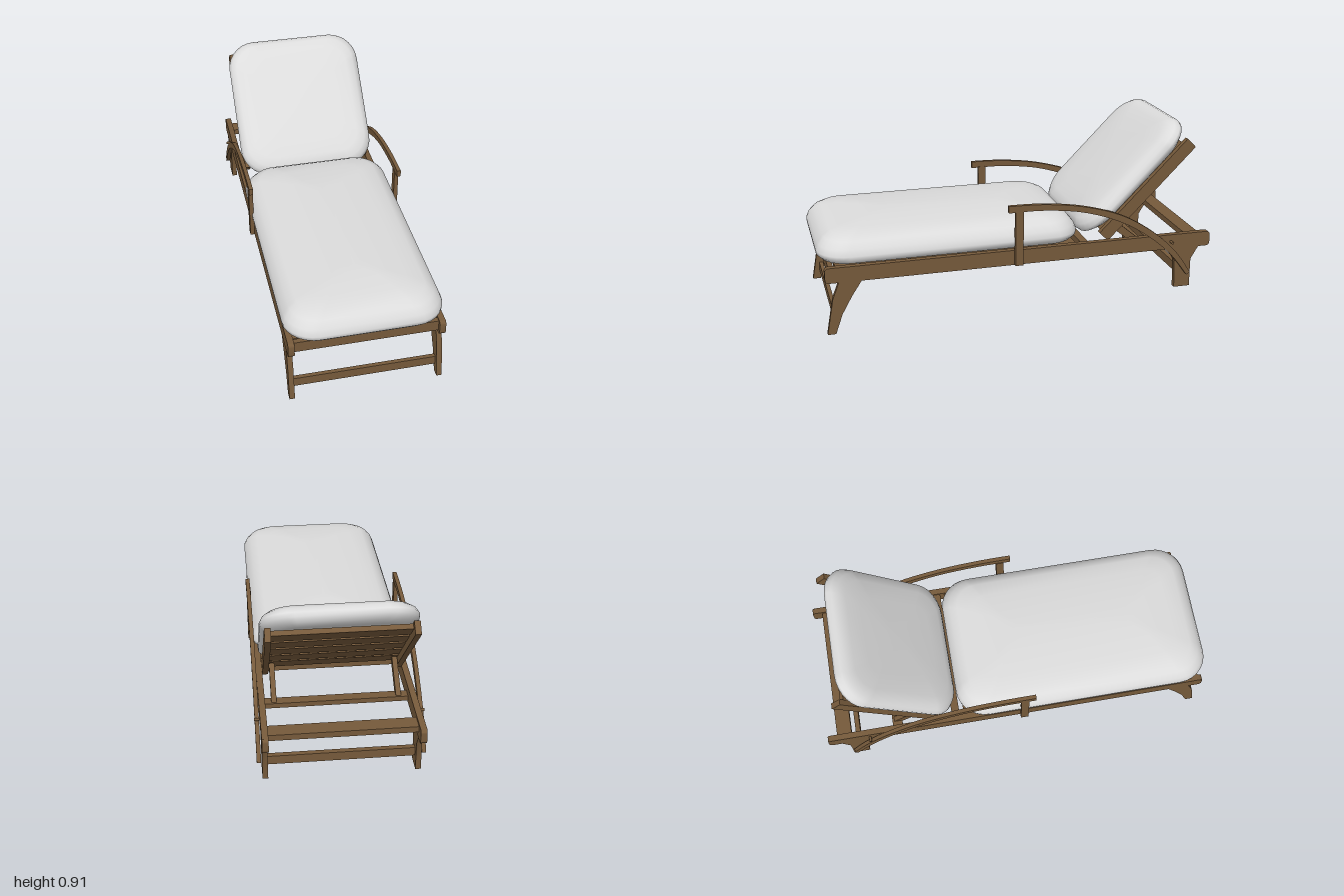
import * as THREE from 'three';
import { toCreasedNormals } from 'three/addons/utils/BufferGeometryUtils.js';

const wood = new THREE.MeshStandardMaterial({ color: 0x765a3b });
wood.name = 'wood';
const fabric = new THREE.MeshStandardMaterial({ color: 0xdcdcdc });
fabric.name = 'cushion fabric';

function add(parent, name, geometry, material = wood) {
  const mesh = new THREE.Mesh(geometry, material);
  mesh.name = name;
  parent.add(mesh);
  return mesh;
}

// Box given by its extents on each axis
function box(parent, name, [x0, x1], [y0, y1], [z0, z1]) {
  const mesh = add(parent, name, new THREE.BoxGeometry(x1 - x0, y1 - y0, z1 - z0));
  mesh.position.set((x0 + x1) / 2, (y0 + y1) / 2, (z0 + z1) / 2);
  return mesh;
}

// Pair of side plates cut from a (z, y) outline, spanning x0..x1 and mirrored
function platePair(parent, name, shape, x0, x1) {
  for (const side of [1, -1]) {
    const g = new THREE.ExtrudeGeometry(shape, { depth: x1 - x0, bevelEnabled: false, curveSegments: 8 });
    g.rotateY(-Math.PI / 2);
    g.translate(side > 0 ? x1 : -x0, 0, 0);
    add(parent, (side > 0 ? 'left' : 'right') + name, toCreasedNormals(g, 0.6));
  }
}

const polygon = (pts) => new THREE.Shape(pts.map(([z, y]) => new THREE.Vector2(z, y)));

function roundedRect(z0, z1, y0, y1, r) {
  const s = new THREE.Shape();
  s.absarc(z1 - r, y1 - r, r, 0, Math.PI / 2);
  s.absarc(z0 + r, y1 - r, r, Math.PI / 2, Math.PI);
  s.absarc(z0 + r, y0 + r, r, Math.PI, Math.PI * 1.5);
  s.absarc(z1 - r, y0 + r, r, Math.PI * 1.5, Math.PI * 2);
  return s;
}

// Soft cushion: rounded rectangles stacked by [inset, height], closed at both ends
function cushionGeometry(halfW, halfL, radius, levels) {
  const pos = [], index = [], per = 8, n = per * 4;
  for (const [inset, h] of levels) {
    const w = halfW - inset, l = halfL - inset;
    const r = Math.min(Math.max(radius - inset * 0.5, 0.03), w, l);
    for (let i = 0; i < n; i++) {
      const corner = Math.floor(i / per);
      const a = (corner + (i % per) / (per - 1)) * Math.PI / 2;
      const sx = corner === 0 || corner === 3 ? 1 : -1, sz = corner < 2 ? 1 : -1;
      pos.push(sx * (w - r) + r * Math.cos(a), h, sz * (l - r) + r * Math.sin(a));
    }
  }
  const last = levels.length - 1;
  for (let k = 0; k < last; k++) {
    for (let i = 0; i < n; i++) {
      const a = k * n + i, b = k * n + (i + 1) % n;
      index.push(a, a + n, b, b, a + n, b + n);
    }
  }
  const c0 = pos.length / 3;
  pos.push(0, levels[0][1], 0, 0, levels[last][1], 0);
  for (let i = 0; i < n; i++) {
    const j = (i + 1) % n;
    index.push(c0, i, j, c0 + 1, last * n + j, last * n + i);
  }
  const g = new THREE.BufferGeometry();
  g.setAttribute('position', new THREE.Float32BufferAttribute(pos, 3));
  g.setIndex(index);
  g.computeVertexNormals();
  return g;
}

function createFrame() {
  const frame = new THREE.Group();
  frame.name = 'frame';
  platePair(frame, 'SideRail', roundedRect(-1, 0.975, 0.265, 0.342, 0.018), 0.342, 0.372);

  // Splayed front legs and straight back legs
  platePair(frame, 'FrontLeg', polygon([[0.975, 0], [0.943, 0.18], [0.91, 0.266], [0.8, 0.266],
    [0.85, 0.19], [0.9, 0.1], [0.935, 0]]), 0.345, 0.371);
  platePair(frame, 'BackLeg', polygon([[-0.775, 0.266], [-0.81, 0.2], [-0.815, 0.05], [-0.9, 0.05],
    [-0.9, 0.2], [-0.94, 0.266]]), 0.345, 0.371);

  // Cross members
  const inner = [-0.345, 0.345];
  box(frame, 'frontRail', inner, [0.28, 0.336], [0.93, 0.955]);
  box(frame, 'backRail', inner, [0.3, 0.33], [-0.95, -0.875]);
  box(frame, 'middleRail', inner, [0.285, 0.335], [-0.35, -0.31]);
  box(frame, 'propRail', inner, [0.275, 0.3], [-0.66, -0.61]);
  box(frame, 'frontStretcher', inner, [0.045, 0.092], [0.918, 0.938]);
  box(frame, 'backStretcher', inner, [0.108, 0.153], [-0.87, -0.845]);

  // Bed slats
  const count = 10, pitch = 1.22 / count;
  for (let i = 0; i < count; i++) {
    const z = 0.92 - i * pitch;
    box(frame, 'bedSlat', inner, [0.305, 0.33], [z - pitch + 0.012, z]);
  }
  return frame;
}

function createArms() {
  const arms = new THREE.Group();
  arms.name = 'arms';
  // Sweeping arm from the front tip down to the back leg
  const s = new THREE.Shape();
  const v = (pts) => pts.map(([z, y]) => new THREE.Vector2(z, y));
  s.moveTo(0.08, 0.545);
  s.lineTo(0.08, 0.58);
  s.splineThru(v([[-0.1, 0.574], [-0.3, 0.545], [-0.5, 0.482], [-0.67, 0.38], [-0.8, 0.262], [-0.89, 0.135]]));
  s.lineTo(-0.87, 0.123);
  s.splineThru(v([[-0.78, 0.24], [-0.65, 0.355], [-0.49, 0.45], [-0.3, 0.515], [-0.1, 0.543], [0.08, 0.545]]));
  platePair(arms, 'Arm', s, 0.375, 0.395);
  platePair(arms, 'ArmPost', polygon([[0.005, 0.267], [0.045, 0.267], [0.045, 0.55], [0.005, 0.55]]), 0.372, 0.393);
  for (const side of [1, -1]) {
    const peg = add(arms, 'armPeg', new THREE.CylinderGeometry(0.007, 0.007, 0.03, 10));
    peg.rotation.z = Math.PI / 2;
    peg.position.set(side * 0.383, 0.305, -0.785);
  }
  return arms;
}

function createBackrest() {
  // Built lying flat with -z toward the head, then tilted up
  const back = new THREE.Group();
  back.name = 'backrest';
  for (const side of [1, -1]) {
    const x = side * 0.328;
    box(back, 'backStile', [x - 0.014, x + 0.014], [-0.032, 0.032], [-0.645, 0]);
  }
  for (let i = 0; i < 5; i++) {
    const z = -0.015 - i * 0.125;
    box(back, 'backSlat', [-0.315, 0.315], [0.002, 0.026], [z - 0.102, z]);
  }
  const cushion = add(back, 'backCushion', cushionGeometry(0.36, 0.375, 0.15, [
    [0.3, 0.032], [0.07, 0.034], [0.025, 0.044], [0.003, 0.065], [0, 0.085],
    [0.012, 0.108], [0.035, 0.126], [0.075, 0.137], [0.16, 0.142], [0.3, 0.145]]), fabric);
  cushion.position.z = -0.313;
  back.position.set(0, 0.355, -0.43);
  back.rotation.x = 0.79;
  return back;
}

export function createModel() {
  const model = new THREE.Group();
  model.name = 'sunLounger';
  model.add(createFrame(), createArms(), createBackrest());

  // Struts holding the backrest up
  platePair(model, 'PropStrut', polygon([[-0.47, 0.4], [-0.5, 0.425], [-0.65, 0.3], [-0.625, 0.275]]), 0.285, 0.31);

  const seat = add(model, 'seatCushion', cushionGeometry(0.38, 0.655, 0.15, [
    [0.3, 0], [0.07, 0], [0.02, 0.015], [0.002, 0.035], [0, 0.055], [0.012, 0.085],
    [0.038, 0.117], [0.075, 0.138], [0.15, 0.149], [0.25, 0.158], [0.34, 0.162]]), fabric);
  seat.position.set(0, 0.337, 0.345);
  return model;
}
